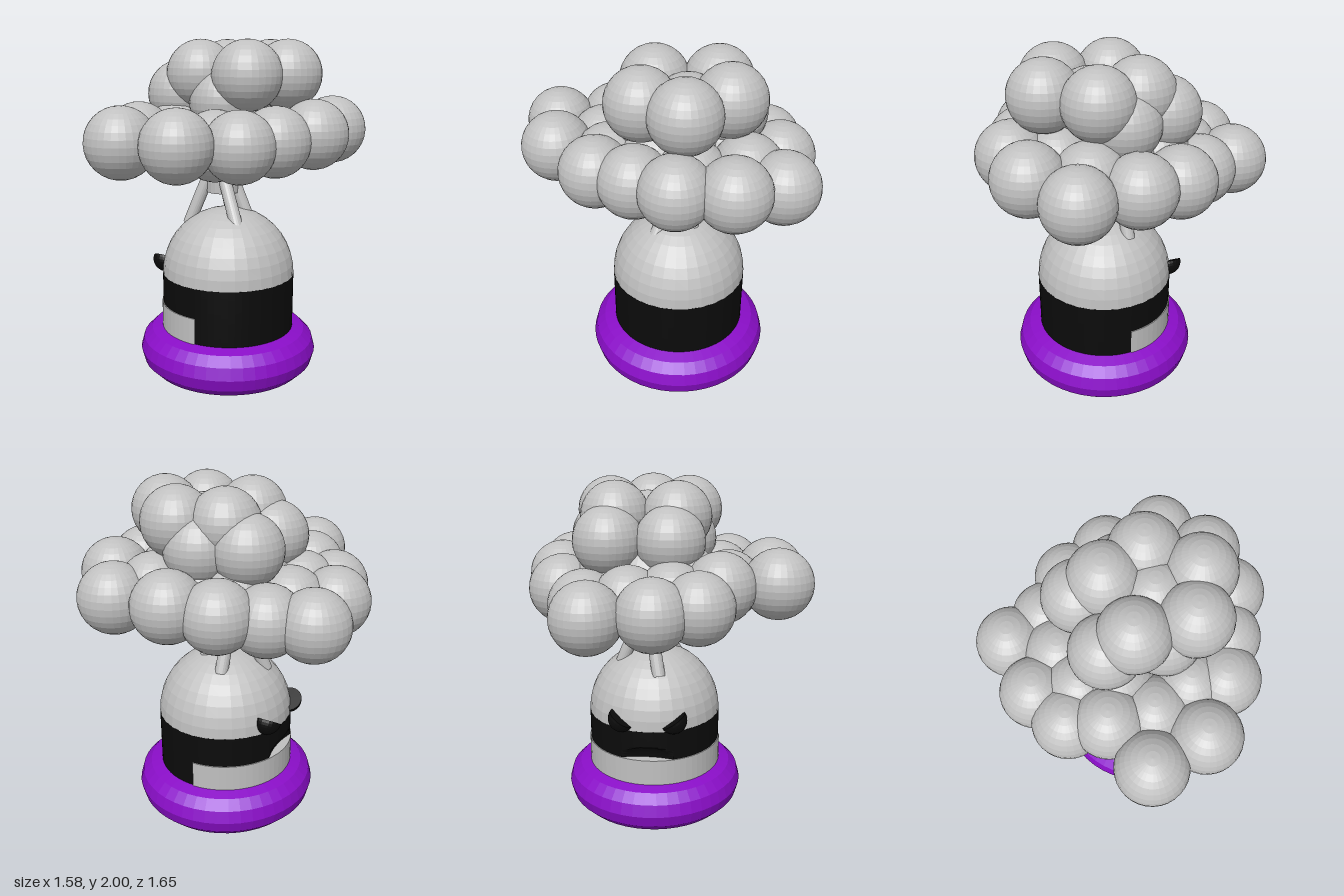
import * as THREE from 'three';

const CX = 0.064, CZ = -0.085; // axis of the pot

const grey = new THREE.MeshStandardMaterial({ color: 0xc0c0c0 });
grey.name = 'light grey';
const black = new THREE.MeshStandardMaterial({ color: 0x0b0b0b });
black.name = 'black';
const purple = new THREE.MeshStandardMaterial({ color: 0x8a0ec8 });
purple.name = 'purple';

// Faceted copy of a geometry
function facet(geo) {
  const g = geo.index ? geo.toNonIndexed() : geo;
  g.computeVertexNormals();
  return g;
}

function add(parent, name, geo, mat, x, y, z) {
  const mesh = new THREE.Mesh(facet(geo), mat);
  mesh.name = name;
  mesh.position.set(x, y, z);
  parent.add(mesh);
  return mesh;
}

// Round bar from a to b
function bar(parent, name, a, b, r) {
  const from = new THREE.Vector3(...a), to = new THREE.Vector3(...b);
  const dir = to.clone().sub(from);
  const mid = from.clone().add(to).multiplyScalar(0.5);
  const mesh = add(parent, name, new THREE.CylinderGeometry(r, r, dir.length(), 20), grey, mid.x, mid.y, mid.z);
  mesh.quaternion.setFromUnitVectors(new THREE.Vector3(0, 1, 0), dir.normalize());
}

// Black drum with a mouth hollowed out of its -x side
function bodyGeometry() {
  const geo = new THREE.CylinderGeometry(0.4, 0.4, 0.59, 64, 48);
  const p = geo.attributes.position;
  for (let i = 0; i < p.count; i++) {
    if (p.getX(i) > -0.1) continue;
    const dy = (p.getY(i) - 0.11) / 0.085, dz = p.getZ(i) / 0.18;
    const q = dy * dy + dz * dz;
    if (q < 1) p.setX(i, Math.max(p.getX(i), -0.4 + 0.05 * Math.sqrt(1 - q)));
  }
  return geo;
}

export function createModel() {
  const model = new THREE.Group();
  model.name = 'potTree';

  // Base ring
  const ring = new THREE.TorusGeometry(0.4, 0.14, 12, 48).rotateX(Math.PI / 2);
  add(model, 'baseRing', ring, purple, CX, 0.14, CZ);

  // Body, dome and jaw
  add(model, 'body', bodyGeometry(), black, CX, 0.32, CZ);
  add(model, 'dome', new THREE.SphereGeometry(0.4, 32, 10, 0, Math.PI * 2, 0, Math.PI / 2), grey, CX, 0.615, CZ);
  add(model, 'jaw', new THREE.CylinderGeometry(0.406, 0.406, 0.165, 32, 1, false, Math.PI, Math.PI), grey, CX, 0.3525, CZ);

  // Slanted half-round eyes, outer ends raised
  for (const side of [-1, 1]) {
    const eye = new THREE.Group();
    eye.name = side > 0 ? 'frontEye' : 'backEye';
    eye.position.set(-0.29, 0.678, CZ + side * 0.15);
    eye.rotation.x = -side * 0.6;
    add(eye, 'eyeBowl', new THREE.SphereGeometry(0.08, 24, 8, 0, Math.PI * 2, Math.PI / 2, Math.PI / 2), black, 0, 0, 0);
    add(eye, 'eyeLid', new THREE.CircleGeometry(0.08, 24).rotateX(-Math.PI / 2), black, 0, 0, 0);
    model.add(eye);
  }

  // Trunk and roots
  bar(model, 'trunk', [0.005, 1.1, -0.125], [0.005, 1.65, -0.125], 0.1);
  const roots = [
    [[-0.075, 1.2, -0.09], [-0.18, 0.9, -0.03]],
    [[0.04, 1.2, -0.07], [0.19, 0.93, 0.045]],
    [[-0.01, 1.2, -0.16], [-0.01, 0.93, -0.27]],
    [[0.05, 1.2, -0.15], [0.16, 0.93, -0.17]],
  ];
  for (const [a, b] of roots) bar(model, 'root', a, b, 0.038);

  // Foliage balls, x y z of each
  const rim = [
    [-0.595, 1.365, -0.355], [-0.58, 1.385, -0.02], [-0.485, 1.4, 0.21], [-0.295, 1.465, 0.315],
    [-0.195, 1.47, 0.625], [0.125, 1.47, 0.59], [0.355, 1.45, 0.345], [0.46, 1.46, 0.13],
    [0.59, 1.485, -0.09], [0.59, 1.485, -0.38], [0.425, 1.435, -0.632], [0.095, 1.44, -0.63],
    [-0.16, 1.41, -0.57], [-0.36, 1.37, -0.415],
  ];
  const inner = [
    [-0.055, 1.43, 0.35], [0.18, 1.44, 0.29], [-0.38, 1.4, -0.17], [-0.35, 1.42, 0.06],
    [0.29, 1.46, -0.45], [0.36, 1.45, -0.16], [0.22, 1.47, 0.04], [0.08, 1.47, -0.35],
    [-0.14, 1.45, -0.32], [-0.16, 1.47, 0.12], [-0.14, 1.48, -0.1], [0.12, 1.49, -0.14],
  ];
  const crown = [
    [0.2, 1.805, -0.35], [-0.055, 1.805, -0.285], [-0.195, 1.69, -0.305], [0.41, 1.805, -0.125],
    [0.275, 1.805, 0.105], [-0.04, 1.805, 0.06], [-0.185, 1.69, 0.035], [0.16, 1.73, -0.13],
    [0.06, 1.68, -0.36], [0.12, 1.66, 0.08],
  ];
  const ball = facet(new THREE.SphereGeometry(0.195, 32, 16));
  for (const [name, list] of Object.entries({ rim, inner, crown })) {
    const cluster = new THREE.Group();
    cluster.name = name + 'Foliage';
    for (const [x, y, z] of list) add(cluster, 'foliageBall', ball, grey, x, y, z);
    model.add(cluster);
  }

  return model;
}
